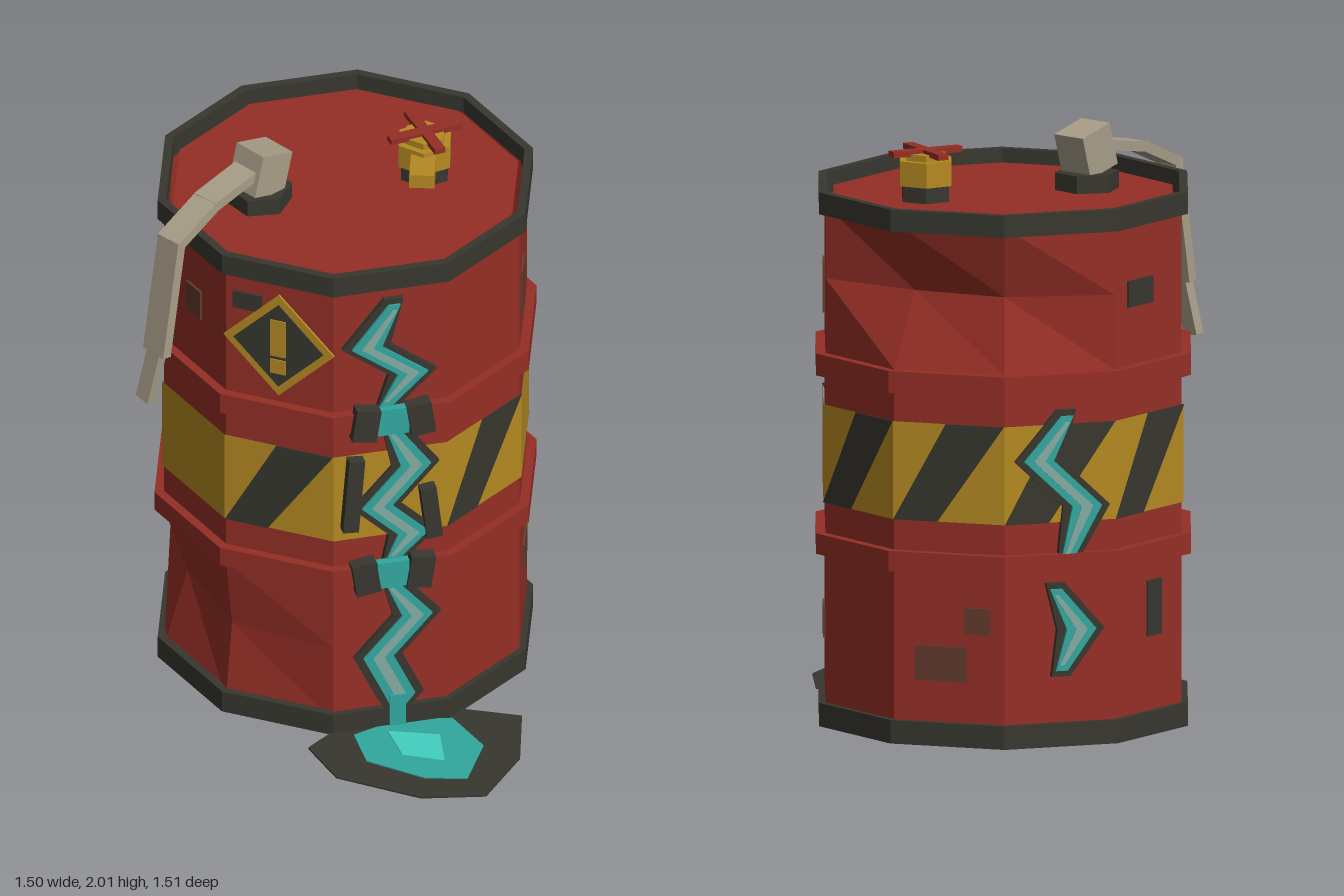
import * as THREE from 'three';

const mat = (name, color, side = THREE.FrontSide) => {
  const m = new THREE.MeshStandardMaterial({ color, side, flatShading: true });
  m.name = name;
  return m;
};
const CX = -0.09, CZ = -0.126, R = 0.63, APO = Math.cos(Math.PI / 10);
const rad = THREE.MathUtils.degToRad;

export function createModel() {
  const red = mat('red paint', 0x962f26, THREE.DoubleSide);
  const dark = mat('dark metal', 0x38372f);
  const yellow = mat('yellow paint', 0xb58a22);
  const teal = mat('teal glow', 0x32a89f);
  const pale = mat('pale glow', 0x84aca3);
  const bright = mat('bright teal', 0x42cfc0);
  const beige = mat('beige metal', 0xa89e88);
  const rust = mat('rust', 0x643c2e);

  const model = new THREE.Group();
  const barrel = new THREE.Group();
  barrel.name = 'barrel';
  barrel.position.set(CX, 0, CZ);
  model.add(barrel);

  const add = (parent, name, geo, material, x = 0, y = 0, z = 0) => {
    const m = new THREE.Mesh(geo, material);
    m.name = name;
    m.position.set(x, y, z);
    parent.add(m);
    return m;
  };
  const poly = pts => new THREE.Shape(pts.map(p => new THREE.Vector2(p[0], p[1])));
  const plate = (shape, depth) => new THREE.ExtrudeGeometry(shape, { depth, bevelEnabled: false });
  const decagon = r => Array.from({ length: 10 }, (_, i) =>
    [r * Math.cos(i * Math.PI / 5), r * Math.sin(i * Math.PI / 5)]);

  // Open ten-sided shell with two raised hoops
  const profile = [[R, 0.04], [R, 0.33], [R, 0.59], [0.663, 0.59], [0.663, 0.66], [R, 0.66], [R, 1.2],
    [0.663, 1.2], [0.663, 1.275], [R, 1.275], [R, 1.53], [R, 1.78]].map(p => new THREE.Vector2(...p));
  const shell = new THREE.LatheGeometry(profile, 10, Math.PI / 2);
  // Dents: corner angle, height, radius factor
  const dents = [[144, 0.33, 0.87], [108, 0.33, 0.95], [288, 1.53, 0.81], [252, 1.53, 0.88]];
  const pos = shell.attributes.position;
  for (let i = 0; i < pos.count; i++) {
    const a = (Math.atan2(pos.getZ(i), pos.getX(i)) * 180 / Math.PI + 360) % 360;
    for (const [angle, y, f] of dents) {
      if (Math.abs(a - angle) < 2 && Math.abs(pos.getY(i) - y) < 0.01) {
        pos.setX(i, pos.getX(i) * f);
        pos.setZ(i, pos.getZ(i) * f);
      }
    }
  }
  add(barrel, 'shell', shell, red);

  // Rims, lid and yellow band
  const rimShape = poly(decagon(0.652));
  rimShape.holes.push(new THREE.Path(decagon(0.622).map(p => new THREE.Vector2(...p))));
  for (const [name, y, h] of [['bottomRim', 0, 0.08], ['topRim', 1.75, 0.075]]) {
    add(barrel, name, plate(rimShape, h).rotateX(-Math.PI / 2), dark, 0, y);
  }
  add(barrel, 'lid', new THREE.CylinderGeometry(0.6, 0.6, 0.02, 10, 1, false, Math.PI / 2), red, 0, 1.77);
  add(barrel, 'band', new THREE.CylinderGeometry(0.637, 0.637, 0.335, 10, 1, true, Math.PI / 2), yellow, 0, 0.9325);

  // A group on one side panel: x runs across it, y up, z out
  const panel = angle => {
    const g = new THREE.Group();
    g.name = 'panel' + angle;
    g.rotation.y = rad(90 - angle);
    barrel.add(g);
    return g;
  };
  const panels = {};
  for (let a = 18; a < 360; a += 36) panels[a] = panel(a);

  // Hazard stripes
  const stripe = poly([[-0.195, 0.765], [-0.04, 0.765], [0.195, 1.1], [-0.01, 1.1]]);
  for (const a of [18, 90, 198, 234, 270, 306]) {
    add(panels[a], 'stripe', plate(stripe, 0.004), dark, 0, 0, 0.637 * APO);
  }

  // Worn patches: panel, x, y, width, height, material
  for (const [a, x, y, w, h, m] of [
    [342, -0.08, 1.46, 0.11, 0.175, rust], [342, 0.035, 0.34, 0.155, 0.105, rust],
    [270, -0.03, 0.28, 0.18, 0.12, rust], [270, 0.1, 0.43, 0.09, 0.09, rust],
    [126, 0, 1.53, 0.09, 0.11, rust], [198, 0.03, 0.43, 0.08, 0.19, dark],
    [198, -0.05, 1.52, 0.14, 0.09, dark], [90, -0.115, 1.65, 0.105, 0.065, dark]]) {
    add(panels[a], 'patch', new THREE.BoxGeometry(w, h, 0.008), m, x, y, R * APO + 0.004);
  }

  // Warning sign
  const diamond = r => poly([[0, -r], [r, 0], [0, r], [-r, 0]]);
  const face = R * APO;
  add(panels[90], 'signBorder', plate(diamond(0.2), 0.008), yellow, 0, 1.505, face + 0.003);
  add(panels[90], 'signField', plate(diamond(0.162), 0.005), dark, 0, 1.505, face + 0.01);
  add(panels[90], 'signBar', new THREE.BoxGeometry(0.055, 0.143, 0.006), yellow, 0, 1.535, face + 0.016);
  add(panels[90], 'signDot', new THREE.BoxGeometry(0.055, 0.055, 0.006), yellow, 0, 1.423, face + 0.016);

  // Zigzag cracks as three stacked layers with tapered ends
  const ribbon = (pts, w, trim) => {
    const n = pts.length - 1;
    const row = pts.map(([x, y], i) => [x, y + (i === 0 ? -trim : i === n ? trim : 0), i % n ? w : w * 0.4]);
    return poly([...row.map(([x, y, h]) => [x - h, y]), ...row.reverse().map(([x, y, h]) => [x + h, y])]);
  };
  const crack = (a, pts) => {
    add(panels[a], 'crackEdge', plate(ribbon(pts, 0.083, 0), 0.02), dark, 0, 0, face);
    add(panels[a], 'crackGlow', plate(ribbon(pts, 0.052, 0.02), 0.012), teal, 0, 0, face + 0.017);
    add(panels[a], 'crackCore', plate(ribbon(pts, 0.02, 0.04), 0.006), pale, 0, 0, face + 0.027);
  };
  crack(54, [[0.01, 1.71], [-0.085, 1.53], [0.075, 1.41], [-0.02, 1.27]]);
  crack(54, [[0, 1.22], [0.085, 1.04], [-0.05, 0.89], [0.075, 0.77], [0, 0.65]]);
  crack(54, [[0, 0.6], [0.09, 0.44], [-0.045, 0.29], [0.03, 0.13], [0.02, 0.06]]);
  crack(234, [[0.02, 1.15], [-0.08, 0.98], [0.09, 0.82], [0.02, 0.62]]);
  crack(234, [[-0.02, 0.56], [0.07, 0.4], [0, 0.24]]);
  add(panels[54], 'drip', new THREE.BoxGeometry(0.055, 0.12, 0.03), teal, 0.02, 0.075, face + 0.02);

  // Bent metal lips where the crack crosses the hoops and the band
  for (const y of [1.24, 0.63]) {
    for (const s of [-1, 1]) {
      const lip = add(panels[54], 'hoopLip', new THREE.BoxGeometry(0.085, 0.12, 0.05), dark, s * 0.095, y, 0.637);
      lip.rotation.z = s * (y > 1 ? 0.15 : -0.15);
    }
    add(panels[54], 'hoopGlow', new THREE.BoxGeometry(0.11, 0.1, 0.03), teal, 0, y, 0.637);
  }
  add(panels[54], 'bandLip', new THREE.BoxGeometry(0.055, 0.28, 0.04), dark, -0.135, 0.955, 0.625).rotation.z = -0.08;
  add(panels[54], 'bandLip', new THREE.BoxGeometry(0.055, 0.2, 0.04), dark, 0.135, 0.85, 0.625).rotation.z = 0.12;

  // Puddle, drawn with z flipped so it lies flat facing up
  const puddle = (name, pts, m, y, h) =>
    add(model, name, plate(poly(pts.map(([x, z]) => [x, -z])), h).rotateX(-Math.PI / 2), m, 0, y);
  puddle('puddleEdge', [[0.4, 0.2], [0.66, 0.155], [0.75, 0.4], [0.73, 0.66], [0.53, 0.752], [0.22, 0.74],
    [0.065, 0.605], [0.13, 0.4]], dark, 0, 0.006);
  puddle('puddle', [[0.45, 0.26], [0.61, 0.38], [0.635, 0.59], [0.5, 0.64], [0.28, 0.615], [0.18, 0.48],
    [0.28, 0.34]], teal, 0.006, 0.004);
  puddle('puddleShine', [[0.28, 0.42], [0.45, 0.375], [0.525, 0.52], [0.38, 0.54]], bright, 0.01, 0.003);

  // Bent lever on the lid
  const lever = new THREE.Group();
  lever.name = 'lever';
  model.add(lever);
  add(lever, 'leverBase', new THREE.CylinderGeometry(0.11, 0.11, 0.06, 6), dark, -0.325, 1.81, 0.065);
  const head = add(lever, 'leverHead', new THREE.BoxGeometry(0.13, 0.15, 0.14), beige, -0.32, 1.915, 0.07);
  head.rotation.set(-0.27, -0.43, 0, 'YXZ');
  const across = new THREE.Vector3(0.9, 0, 0.43).normalize();
  const path = [[-0.34, 1.93, 0.1], [-0.42, 1.895, 0.3], [-0.485, 1.82, 0.465], [-0.515, 1.41, 0.52],
    [-0.55, 1.225, 0.535]].map(p => new THREE.Vector3(...p));
  [0.1, 0.1, 0.1, 0.06].forEach((w, i) => {
    const along = path[i + 1].clone().sub(path[i]);
    const bar = add(lever, 'leverBar', new THREE.BoxGeometry(w, along.length() + 0.02, 0.035), beige);
    const yAxis = along.normalize();
    const zAxis = across.clone().cross(yAxis).normalize();
    const xAxis = yAxis.clone().cross(zAxis);
    bar.quaternion.setFromRotationMatrix(new THREE.Matrix4().makeBasis(xAxis, yAxis, zAxis));
    bar.position.copy(path[i]).lerp(path[i + 1], 0.5);
  });

  // Valve with spout and cross handle
  const valve = new THREE.Group();
  valve.name = 'valve';
  valve.position.set(0.13, 0, -0.295);
  valve.rotation.y = 0.33;
  model.add(valve);
  add(valve, 'valveBase', new THREE.CylinderGeometry(0.09, 0.09, 0.06, 6), dark, 0, 1.81);
  add(valve, 'valveBody', new THREE.CylinderGeometry(0.1, 0.1, 0.085, 6), yellow, 0, 1.8775);
  add(valve, 'spout', new THREE.BoxGeometry(0.085, 0.05, 0.13), yellow, 0, 1.88, 0.145);
  add(valve, 'valveStem', new THREE.CylinderGeometry(0.075, 0.075, 0.025, 6), yellow, 0, 1.93);
  for (const a of [45, -45]) {
    add(valve, 'crossHandle', new THREE.BoxGeometry(0.26, 0.02, 0.038), red, 0, 1.945).rotation.y = rad(a) - 0.33;
  }
  return model;
}
